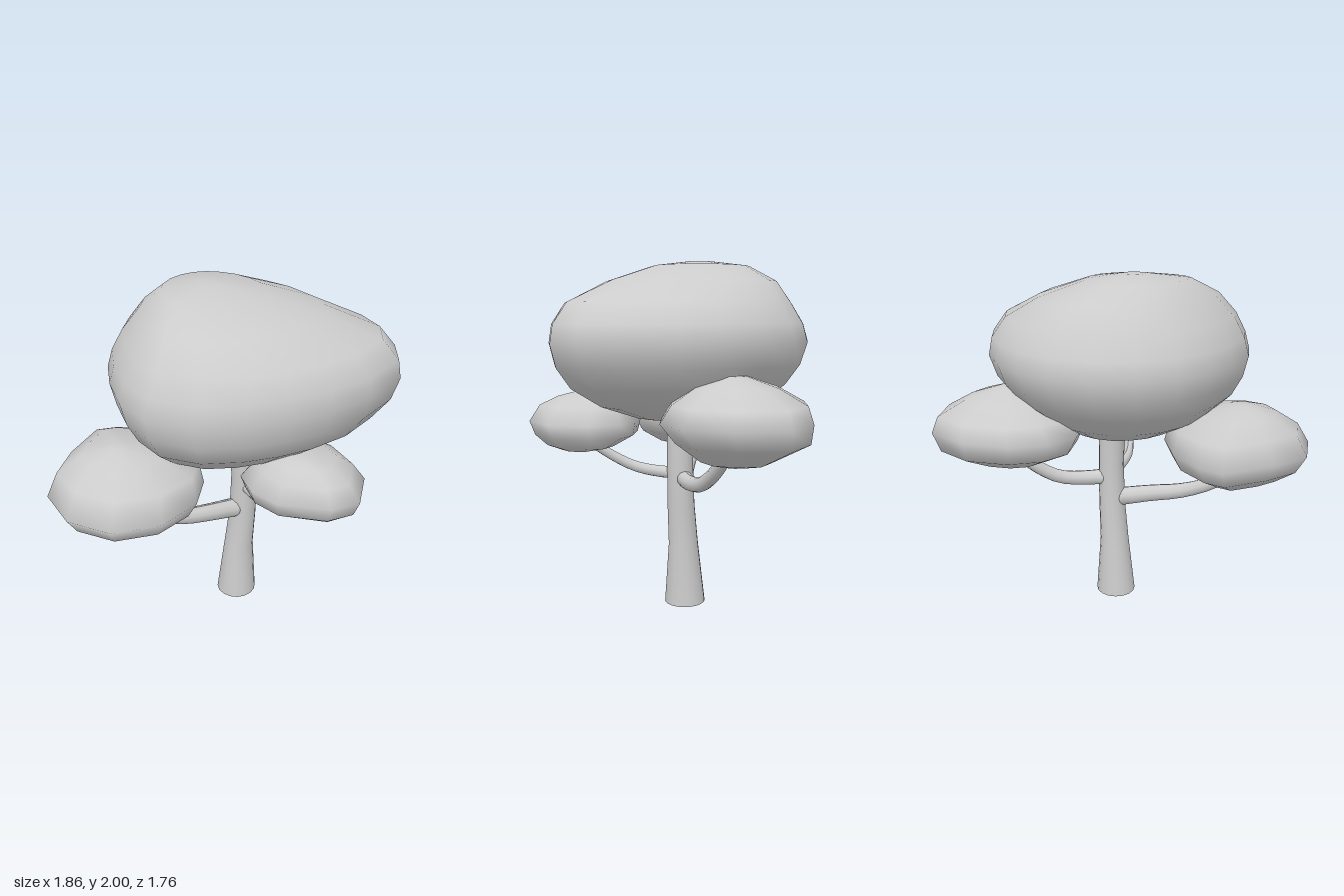
import * as THREE from 'three';

const material = new THREE.MeshStandardMaterial({ color: 0xcccccc });

// Stacks scaled copies of a plan outline [x, z]; each ring is [y, xMin, xMax, zMin, zMax], bottom to top.
function loft(name, outline, rings) {
  const xs = outline.map(p => p[0]), zs = outline.map(p => p[1]);
  const x0 = Math.min(...xs), x1 = Math.max(...xs), z0 = Math.min(...zs), z1 = Math.max(...zs);
  const n = outline.length, pos = [], idx = [];
  for (const [y, a, b, c, d] of rings) {
    for (const [x, z] of outline) {
      pos.push(a + (b - a) * (x - x0) / (x1 - x0), y, c + (d - c) * (z - z0) / (z1 - z0));
    }
  }
  const last = (rings.length - 1) * n, bottom = rings.length * n, top = bottom + 1;
  for (const [y, a, b, c, d] of [rings[0], rings[rings.length - 1]]) pos.push((a + b) / 2, y, (c + d) / 2);
  for (let j = 0; j < n; j++) {
    const k = (j + 1) % n;
    for (let i = 0; i < last; i += n) idx.push(i + j, i + n + j, i + n + k, i + j, i + n + k, i + k);
    idx.push(bottom, j, k, top, last + k, last + j);
  }
  const geo = new THREE.BufferGeometry();
  geo.setAttribute('position', new THREE.Float32BufferAttribute(pos, 3));
  geo.setIndex(idx);
  geo.computeVertexNormals();
  const mesh = new THREE.Mesh(geo, material);
  mesh.name = name;
  return mesh;
}

// Tube along a bent path, narrowing from r0 to r1.
function branch(name, points, r0, r1) {
  const curve = new THREE.CatmullRomCurve3(points.map(p => new THREE.Vector3(...p)));
  const steps = 10, sides = 10;
  const geo = new THREE.TubeGeometry(curve, steps, r0, sides);
  const pos = geo.attributes.position, v = new THREE.Vector3();
  for (let i = 0; i < pos.count; i++) {
    const t = Math.floor(i / (sides + 1)) / steps;
    const c = curve.getPointAt(t);
    v.fromBufferAttribute(pos, i).sub(c).multiplyScalar(1 + (r1 / r0 - 1) * t).add(c);
    pos.setXYZ(i, v.x, v.y, v.z);
  }
  geo.computeVertexNormals();
  const mesh = new THREE.Mesh(geo, material);
  mesh.name = name;
  // rounded butt where the branch leaves the trunk
  const knot = new THREE.Mesh(new THREE.SphereGeometry(r0, 10, 8), material);
  knot.name = name + 'Base';
  knot.position.set(...points[0]);
  const group = new THREE.Group();
  group.name = name + 'Group';
  group.add(mesh, knot);
  return group;
}

export function createModel() {
  const tree = new THREE.Group();
  tree.name = 'tree';

  // Trunk; the doubled first ring keeps the foot edge sharp
  const circle = Array.from({ length: 16 }, (_, i) => {
    const a = i / 16 * Math.PI * 2;
    return [Math.cos(a), Math.sin(a)];
  });
  tree.add(loft('trunk', circle, [
    [0, -0.05, 0.19, -0.05, 0.19],
    [0, -0.05, 0.19, -0.05, 0.19],
    [0.36, -0.005, 0.17, -0.017, 0.157],
    [0.6, 0.025, 0.183, -0.01, 0.15],
    [0.85, 0.035, 0.187, -0.006, 0.146],
    [1.08, 0.025, 0.183, -0.01, 0.15],
    [1.25, 0.01, 0.17, -0.01, 0.15],
  ]));

  // Branches
  tree.add(branch('rightBranch', [
    [0.045, 0.64, 0.11], [-0.09, 0.675, 0.2], [-0.27, 0.72, 0.3], [-0.45, 0.81, 0.38], [-0.55, 0.91, 0.43],
  ], 0.056, 0.034));
  tree.add(branch('frontBranch', [
    [0.125, 0.79, 0.12], [0.16, 0.795, 0.2], [0.22, 0.82, 0.32], [0.31, 0.89, 0.42], [0.41, 0.98, 0.5],
  ], 0.036, 0.026));
  tree.add(branch('backBranch', [
    [0.13, 0.77, 0.03], [0.2, 0.765, -0.06], [0.28, 0.79, -0.2], [0.34, 0.87, -0.32], [0.4, 0.99, -0.44],
  ], 0.047, 0.034));

  // Large leaf crown
  tree.add(loft('crown', [
    [0.06, -0.64], [0.29, -0.6], [0.5, -0.51], [0.69, -0.36], [0.86, -0.13], [0.93, 0.07], [0.9, 0.28],
    [0.7, 0.5], [0.48, 0.64], [0.28, 0.72], [0.07, 0.77], [-0.17, 0.78], [-0.4, 0.69], [-0.53, 0.51],
    [-0.6, 0.28], [-0.63, 0.06], [-0.6, -0.15], [-0.5, -0.35], [-0.34, -0.51], [-0.14, -0.61],
  ], [
    [1.1, -0.1, 0.18, -0.1, 0.2],
    [1.13, -0.28, 0.37, -0.24, 0.4],
    [1.21, -0.43, 0.6, -0.38, 0.58],
    [1.32, -0.54, 0.79, -0.51, 0.71],
    [1.43, -0.6, 0.885, -0.595, 0.765],
    [1.55, -0.63, 0.925, -0.635, 0.785],
    [1.65, -0.6, 0.905, -0.61, 0.765],
    [1.76, -0.54, 0.81, -0.54, 0.71],
    [1.88, -0.44, 0.51, -0.43, 0.58],
    [1.97, -0.33, 0.21, -0.23, 0.37],
    [2, -0.14, -0.01, -0.01, 0.14],
  ]));

  // Leaf clump on the right
  tree.add(loft('rightClump', [
    [-0.63, 0], [-0.4, 0.05], [-0.2, 0.2], [-0.13, 0.45], [-0.17, 0.65], [-0.34, 0.82],
    [-0.58, 0.875], [-0.8, 0.77], [-0.93, 0.55], [-0.88, 0.31], [-0.76, 0.03],
  ], [
    [0.83, -0.59, -0.48, 0.42, 0.58],
    [0.87, -0.77, -0.32, 0.21, 0.69],
    [0.95, -0.88, -0.18, 0.06, 0.81],
    [1.05, -0.93, -0.13, 0, 0.88],
    [1.17, -0.875, -0.155, 0.05, 0.8],
    [1.25, -0.75, -0.33, 0.2, 0.66],
    [1.29, -0.6, -0.5, 0.4, 0.52],
  ]));

  // Leaf clump at the front
  tree.add(loft('frontClump', [
    [0.3, 0.25], [0.46, 0.22], [0.6, 0.32], [0.7, 0.53], [0.63, 0.75], [0.48, 0.8],
    [0.22, 0.74], [0.1, 0.62], [0.06, 0.48], [0.14, 0.34],
  ], [
    [0.935, 0.42, 0.55, 0.44, 0.6],
    [0.96, 0.25, 0.61, 0.32, 0.71],
    [1.02, 0.09, 0.67, 0.23, 0.785],
    [1.1, 0.06, 0.7, 0.215, 0.805],
    [1.19, 0.13, 0.63, 0.25, 0.77],
    [1.24, 0.2, 0.54, 0.33, 0.68],
    [1.265, 0.27, 0.42, 0.46, 0.6],
  ]));

  // Leaf clump at the back
  tree.add(loft('backClump', [
    [0.28, -0.86], [0.54, -0.88], [0.72, -0.68], [0.78, -0.44], [0.68, -0.23], [0.5, -0.1],
    [0.3, -0.07], [0.08, -0.17], [-0.06, -0.36], [-0.05, -0.55], [0.06, -0.72],
  ], [
    [0.94, 0.31, 0.44, -0.54, -0.4],
    [0.97, 0.17, 0.56, -0.67, -0.28],
    [1.07, -0.03, 0.7, -0.86, -0.13],
    [1.17, -0.07, 0.78, -0.88, -0.07],
    [1.26, -0.02, 0.73, -0.85, -0.13],
    [1.34, 0.13, 0.59, -0.7, -0.25],
    [1.395, 0.3, 0.42, -0.52, -0.42],
  ]));

  return tree;
}
